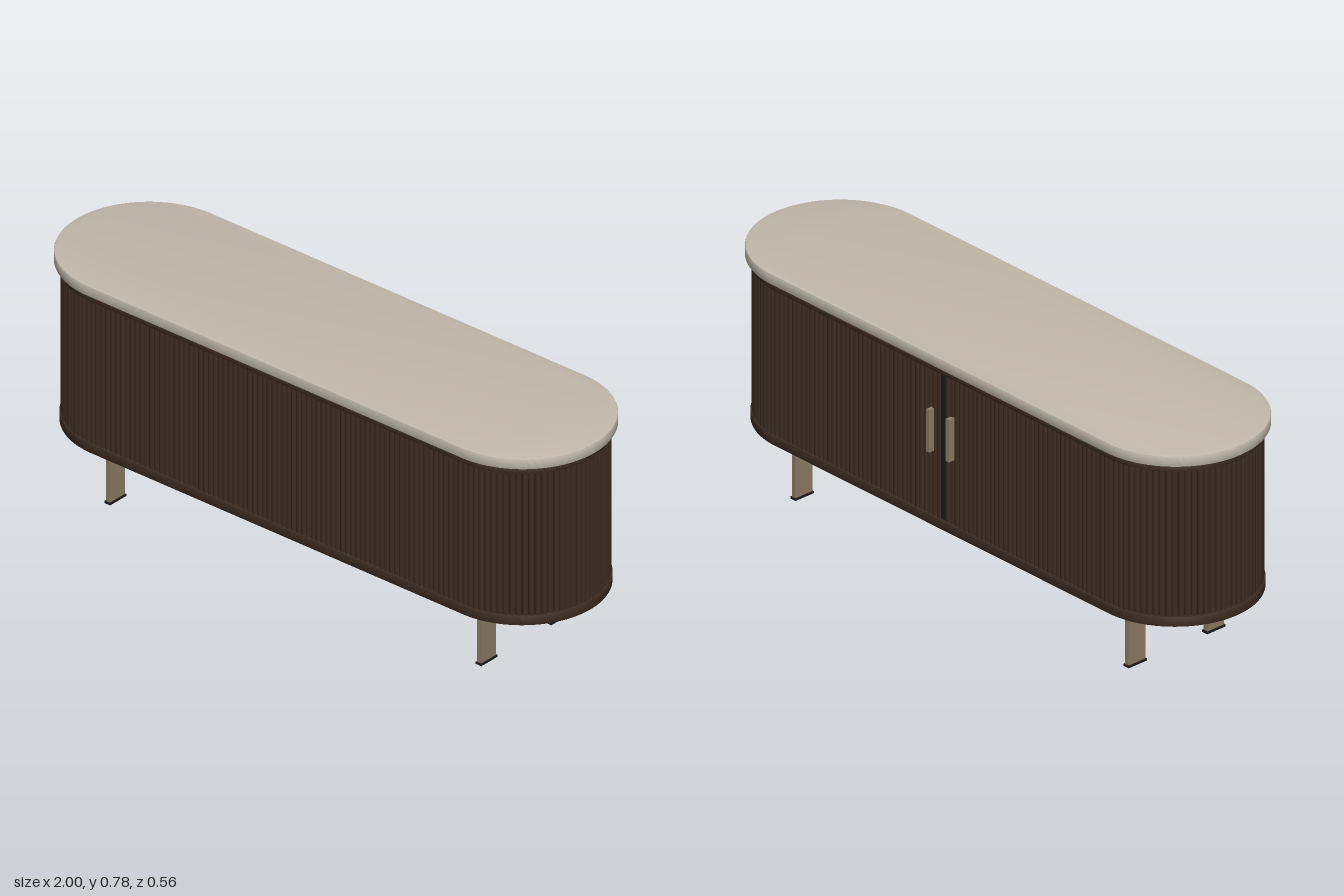
import * as THREE from 'three';
import { mergeGeometries, toCreasedNormals } from 'three/addons/utils/BufferGeometryUtils.js';

const mat = (name, color) => new THREE.MeshStandardMaterial({ name, color });

const HALF = 0.717;   // half length of the straight sides
const CZ = 0.0015;    // depth centre of the cabinet

// Capsule-shaped slab with softened edges, lying flat between y0 and y1
function slab(half, radius, y0, y1, bevel) {
  const s = new THREE.Shape();
  s.moveTo(-half, -radius);
  s.lineTo(half, -radius);
  s.absarc(half, 0, radius, -Math.PI / 2, Math.PI / 2, false);
  s.lineTo(-half, radius);
  s.absarc(-half, 0, radius, Math.PI / 2, Math.PI * 1.5, false);
  const g = new THREE.ExtrudeGeometry(s, {
    depth: y1 - y0 - 2 * bevel, curveSegments: 40, steps: 1,
    bevelEnabled: bevel > 0, bevelThickness: bevel, bevelSize: bevel,
    bevelOffset: -bevel, bevelSegments: 2,
  });
  g.rotateX(-Math.PI / 2);
  g.translate(0, y0 + bevel, CZ);
  return toCreasedNormals(g, 0.6);
}

// Point at distance d along the capsule outline, starting at the middle of the back
function outline(d, r) {
  const arc = Math.PI * r;
  if (d < HALF) return [d, -r];
  d -= HALF;
  if (d < arc) return [HALF + r * Math.sin(d / r), -r * Math.cos(d / r)];
  d -= arc;
  if (d < 2 * HALF) return [HALF - d, r];
  d -= 2 * HALF;
  if (d < arc) return [-HALF - r * Math.sin(d / r), r * Math.cos(d / r)];
  return [-HALF + d - arc, -r];
}

export function createModel() {
  const model = new THREE.Group();
  model.name = 'sideboard';
  const stone = mat('stone', 0xc2b9ab);
  const wood = mat('dark wood', 0x3d2c21);
  const core = mat('shadow wood', 0x2c2018);
  const black = mat('black', 0x1c1a19);
  const bronze = mat('bronze', 0x8c7a63);

  const add = (name, geometry, material, x = 0, y = 0, z = 0) => {
    const m = new THREE.Mesh(geometry, material);
    m.name = name;
    m.position.set(x, y, z);
    model.add(m);
    return m;
  };

  // Worktop and carcass
  add('worktop', slab(0.7215, 0.2785, 0.74, 0.776, 0.004), stone);
  add('topRim', slab(HALF, 0.2655, 0.715, 0.738, 0.003), wood);
  add('baseRim', slab(HALF, 0.2655, 0.203, 0.235, 0.003), wood);
  add('core', slab(HALF, 0.251, 0.22, 0.742, 0), core);

  // Round slats all the way round, leaving a gap between the doors
  const r = 0.253, count = 236, slats = [];
  const total = 4 * HALF + 2 * Math.PI * r, pitch = total / count;
  for (let i = 1; i < count; i++) {
    const [x, z] = outline(i * pitch, r);
    const g = new THREE.CylinderGeometry(0.0092, 0.0092, 0.484, 10, 1, true);
    g.translate(x, 0.475, z + CZ);
    slats.push(g);
  }
  add('slats', mergeGeometries(slats), wood);

  // Dark strip where the doors meet, with a handle on each side
  add('doorGap', new THREE.BoxGeometry(0.02, 0.48, 0.008), black, 0, 0.475, CZ - 0.255);
  for (const s of [-1, 1]) {
    add(s > 0 ? 'leftHandle' : 'rightHandle',
      new THREE.BoxGeometry(0.013, 0.14, 0.028), bronze, s * 0.042, 0.52, -0.266);
  }

  // Flat legs with thin foot pads
  for (const sx of [-1, 1]) for (const sz of [-1, 1]) {
    const x = sx * 0.716, z = CZ + sz * 0.157;
    add('leg', new THREE.BoxGeometry(0.016, 0.2, 0.067), bronze, x, 0.105, z);
    add('footPad', new THREE.BoxGeometry(0.022, 0.007, 0.073), black, x, 0.0035, z);
  }
  return model;
}
